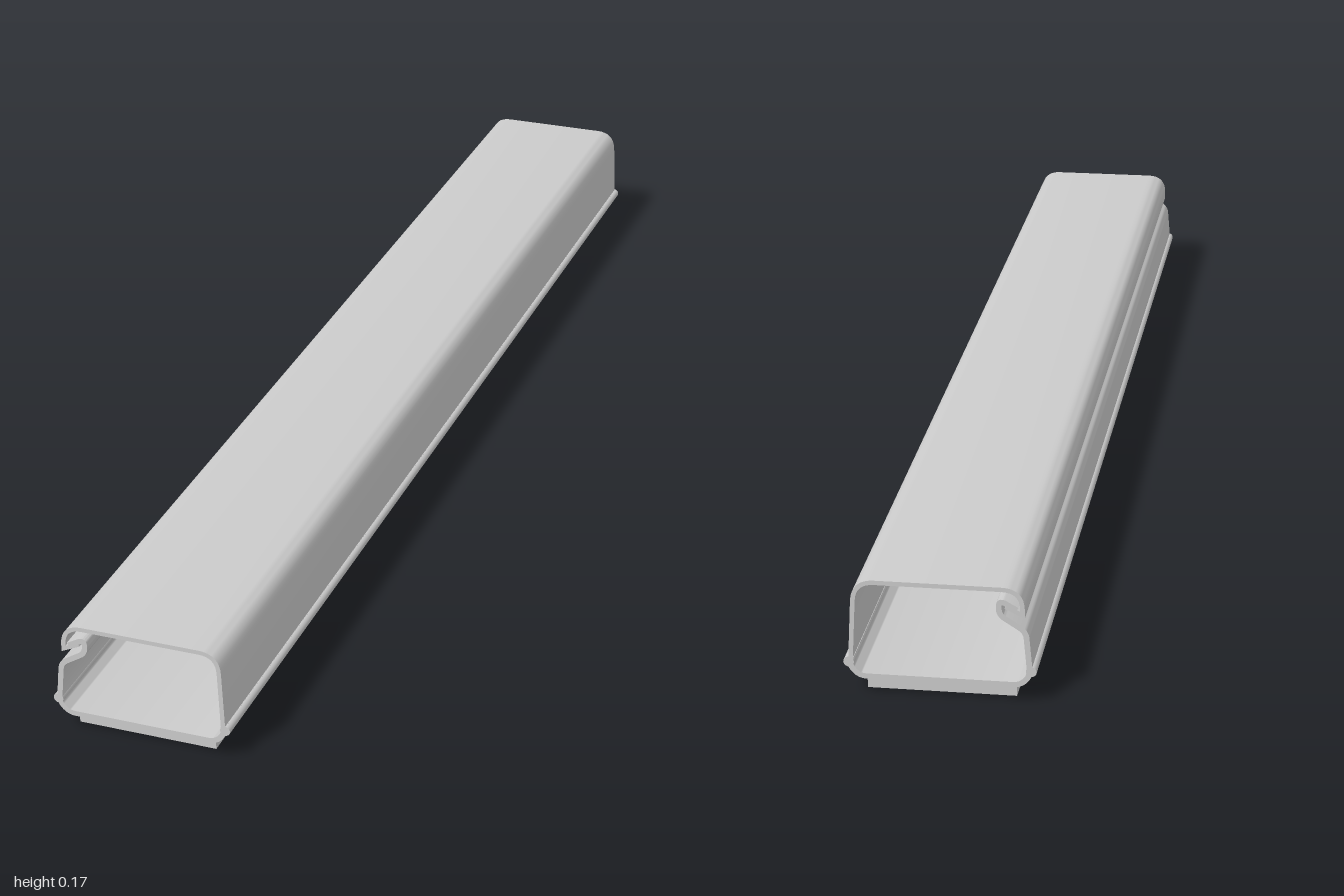
import * as THREE from 'three';
import { toCreasedNormals } from 'three/addons/utils/BufferGeometryUtils.js';

const LENGTH = 2;
const material = new THREE.MeshStandardMaterial({ color: 0xcccccc });

// Centreline through [x, y, cut] corners, each rounded off from 'cut' before to 'cut' after it
function roundedLine(corners) {
  const path = new THREE.Path();
  const pts = corners.map(([x, y]) => new THREE.Vector2(x, y));
  path.moveTo(pts[0].x, pts[0].y);
  for (let i = 1; i < pts.length - 1; i++) {
    const p = pts[i];
    const cut = corners[i][2] || 0;
    if (!cut) {
      path.lineTo(p.x, p.y);
      continue;
    }
    const a = pts[i - 1].clone().sub(p).setLength(cut).add(p);
    const b = pts[i + 1].clone().sub(p).setLength(cut).add(p);
    path.lineTo(a.x, a.y);
    path.quadraticCurveTo(p.x, p.y, b.x, b.y);
  }
  path.lineTo(pts.at(-1).x, pts.at(-1).y);
  return path.getPoints(8);
}

// Closed wall outline: the centreline offset to both sides with mitred joints
function wallShape(line, thickness) {
  const left = [];
  const right = [];
  line.forEach((p, i) => {
    const before = p.clone().sub(line[Math.max(i - 1, 0)]).normalize();
    const after = line[Math.min(i + 1, line.length - 1)].clone().sub(p).normalize();
    const dir = before.clone().add(after).normalize();
    const along = i === 0 ? after : before;
    const offset = new THREE.Vector2(-dir.y, dir.x).multiplyScalar(thickness / 2 / dir.dot(along));
    left.push(p.clone().add(offset));
    right.push(p.clone().sub(offset));
  });
  return new THREE.Shape([...left, ...right.reverse()]);
}

function addMesh(group, name, geometry) {
  const mesh = new THREE.Mesh(geometry, material);
  mesh.name = name;
  group.add(mesh);
  return mesh;
}

function addProfile(group, name, corners, thickness) {
  const shape = wallShape(roundedLine(corners), thickness);
  const geometry = new THREE.ExtrudeGeometry(shape, { depth: LENGTH, bevelEnabled: false });
  geometry.translate(0, 0, -LENGTH / 2);
  return addMesh(group, name, toCreasedNormals(geometry, 0.6));
}

export function createModel() {
  const group = new THREE.Group();
  group.name = 'cableDuct';

  // Trough: floor, side wall and the curled latch at its top
  addProfile(group, 'trough', [
    [0.1245, 0.054],
    [0.126, 0.042, 0.008],
    [0.113, 0.0265, 0.011],
    [-0.113, 0.0265, 0.011],
    [-0.126, 0.042, 0.008],
    [-0.1202, 0.107, 0.01],
    [-0.083, 0.1305, 0.009],
    [-0.0825, 0.153, 0.011],
    [-0.108, 0.139],
  ], 0.008);

  // Lid: right wall, top and the lip that snaps into the latch
  addProfile(group, 'lid', [
    [0.1248, 0.048],
    [0.119, 0.168, 0.029],
    [-0.1155, 0.168, 0.029],
    [-0.1155, 0.132],
    [-0.092, 0.143],
  ], 0.0065);

  // Rounded ribs along both lower edges
  for (const side of [1, -1]) {
    const rib = addMesh(group, side > 0 ? 'leftRib' : 'rightRib',
      new THREE.CylinderGeometry(0.0075, 0.0075, LENGTH, 20));
    rib.rotation.x = Math.PI / 2;
    rib.position.set(side * 0.1275, 0.047, 0);
  }

  // Mounting strip under the floor
  const strip = addMesh(group, 'mountingStrip', new THREE.BoxGeometry(0.21, 0.0225, 1.96));
  strip.position.y = 0.01125;

  return group;
}
